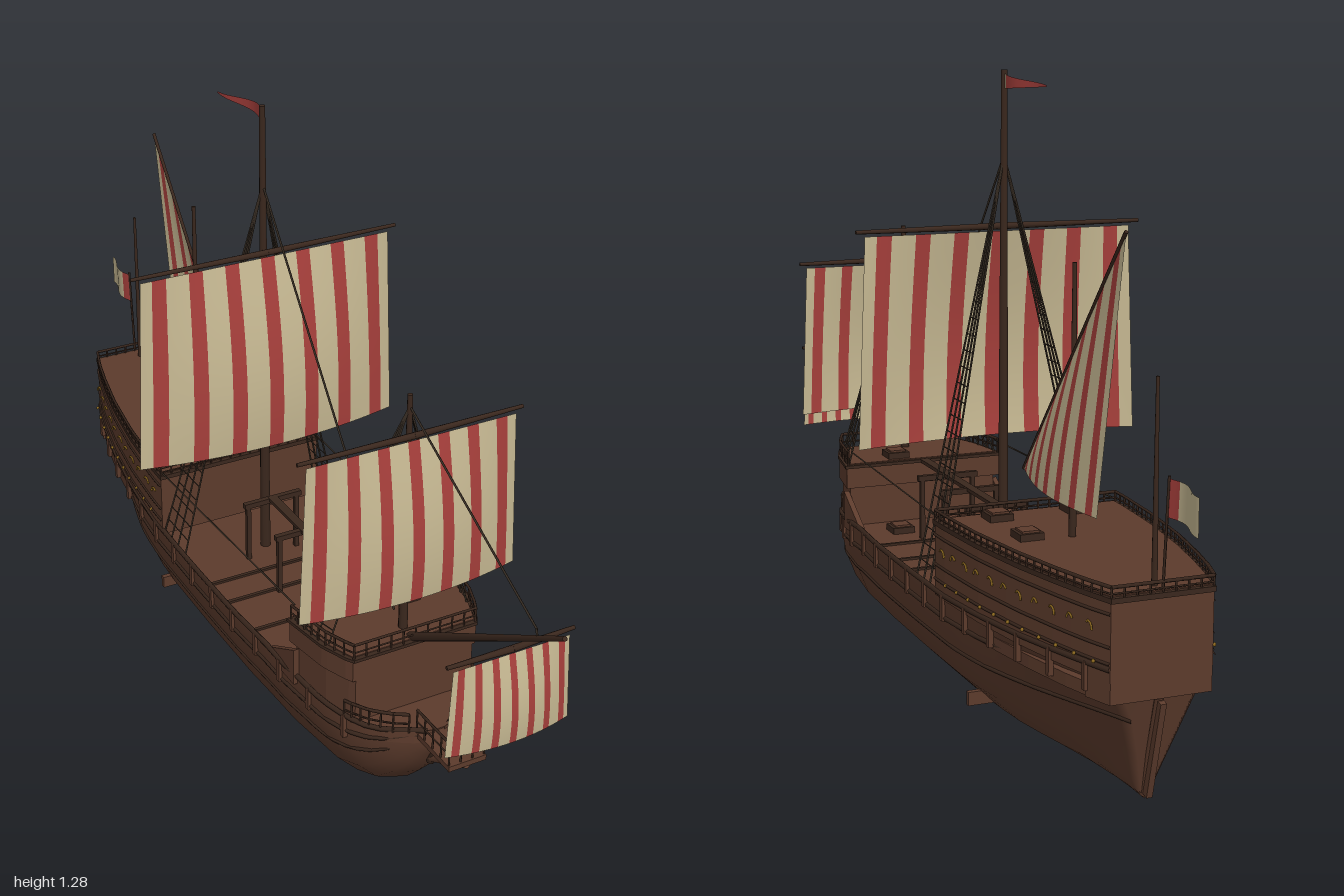
import * as THREE from 'three';
import { ParametricGeometry } from 'three/addons/geometries/ParametricGeometry.js';

const V = (x, y, z) => new THREE.Vector3(x, y, z);
const lerp = THREE.MathUtils.lerp, clamp = THREE.MathUtils.clamp;

function material(name, color, side = THREE.FrontSide) {
  const m = new THREE.MeshStandardMaterial({ color, side });
  m.name = name;
  return m;
}

// Hull stations from bow to stern: z, half width, keel height
const STATIONS = [
  [0.62, 0.012, 0.19], [0.605, 0.05, 0.16], [0.58, 0.09, 0.115], [0.55, 0.12, 0.075], [0.51, 0.145, 0.033],
  [0.45, 0.167, 0.008], [0.3, 0.189, 0], [0.1, 0.199, 0], [-0.1, 0.2, 0], [-0.3, 0.197, 0],
  [-0.45, 0.186, 0], [-0.6, 0.165, 0], [-0.72, 0.14, 0], [-0.8, 0.12, 0], [-0.86, 0.1, 0]];
const FULL = [[0, 0], [0.25, 0.05], [0.52, 0.13], [0.8, 0.34], [0.94, 0.6], [0.99, 0.82], [1, 1]];
const NARROW = [0.05, 0.08, 0.13, 0.25, 0.45, 0.72, 1];

function station(z, k) {
  let i = 0;
  while (i < STATIONS.length - 2 && z < STATIONS[i + 1][0]) i++;
  const a = STATIONS[i], b = STATIONS[i + 1];
  return lerp(a[k], b[k], clamp((z - a[0]) / (b[0] - a[0]), 0, 1));
}
const halfWidth = z => station(z, 1);
const topY = z => 0.26 - 0.03 * clamp((z - 0.25) / 0.3, 0, 1) + 0.015 * clamp((-z - 0.3) / 0.5, 0, 1);

// One side of the hull section at z, keel to gunwale
function section(z) {
  const f = Math.pow(clamp((-z - 0.35) / 0.51, 0, 1), 1.8), k = station(z, 2), w = halfWidth(z);
  return FULL.map(([px, py], j) => V(w * lerp(px, NARROW[j] * Math.sign(px), f),
    lerp(k, topY(z), py), z + 0.06 * f * (1 - py)));
}

function hullGeometry() {
  const zs = [];
  for (let i = 0; i < STATIONS.length - 1; i++)
    for (let s = 0; s < 2; s++) zs.push(lerp(STATIONS[i][0], STATIONS[i + 1][0], s / 2));
  zs.push(-0.86);
  const pos = [], idx = [], n = FULL.length * 2 - 1;
  zs.forEach((z, i) => {
    const right = section(z);
    const row = [...right.slice(1).reverse().map(p => V(-p.x, p.y, p.z)), ...right];
    row.forEach(p => pos.push(p.x, p.y, p.z));
    if (i) for (let j = 0; j < n - 1; j++) {
      const a = (i - 1) * n + j, b = i * n + j;
      idx.push(a, b, a + 1, b, b + 1, a + 1);
    }
  });
  const last = (zs.length - 1) * n;
  for (let j = 1; j < n - 1; j++) idx.push(last, last + j + 1, last + j);
  const g = new THREE.BufferGeometry();
  g.setAttribute('position', new THREE.Float32BufferAttribute(pos, 3));
  g.setIndex(idx);
  g.computeVertexNormals();
  return g;
}

export function createModel() {
  const model = new THREE.Group();
  const hullWood = material('hull wood', 0x5c3b2c, THREE.DoubleSide);
  const wood = material('plank wood', 0x5c3b2c);
  const darkWood = material('dark wood', 0x3a271d);
  const rope = material('rope', 0x3b3026);
  const cream = material('sail cream', 0xc6b892, THREE.DoubleSide);
  const red = material('sail red', 0xa63f3b, THREE.DoubleSide);
  const gold = material('gold trim', 0x8f6a20);

  const group = (name, parent = model) => {
    const g = new THREE.Group();
    g.name = name;
    parent.add(g);
    return g;
  };
  const add = (name, geo, mat, parent = model) => {
    const m = new THREE.Mesh(geo, mat);
    m.name = name;
    parent.add(m);
    return m;
  };
  const box = (name, w, h, d, x, y, z, mat, parent) => {
    const m = add(name, new THREE.BoxGeometry(w, h, d), mat, parent);
    m.position.set(x, y, z);
    return m;
  };
  const rod = (name, a, b, r, mat, parent, r2 = r, sides = r < 0.004 ? 4 : 8) => {
    const m = add(name, new THREE.CylinderGeometry(r2, r, a.distanceTo(b), sides), mat, parent);
    m.position.copy(a).lerp(b, 0.5);
    m.quaternion.setFromUnitVectors(V(0, 1, 0), b.clone().sub(a).normalize());
    return m;
  };
  const path = (name, pts, r, mat, parent) =>
    add(name, new THREE.TubeGeometry(new THREE.CatmullRomCurve3(pts), pts.length * 2, r, 5), mat, parent);
  // Points along the plan outline on one side
  const side = (s, z0, z1, n, y, k = 1) => Array.from({ length: n + 1 }, (_, i) => {
    const z = lerp(z0, z1, i / n);
    return V(s * halfWidth(z) * k, y, z);
  });
  // Solid with the hull's plan between two z and two heights
  const prism = (name, z0, z1, y0, y1, k, mat = wood) => {
    const pts = [...side(1, z0, z1, 12, 0, k), ...side(-1, z1, z0, 12, 0, k)];
    const shape = new THREE.Shape(pts.map(p => new THREE.Vector2(p.x, -p.z)));
    const g = new THREE.ExtrudeGeometry(shape, { depth: y1 - y0, bevelEnabled: false });
    g.rotateX(-Math.PI / 2).translate(0, y0, 0);
    return add(name, g, mat);
  };
  const railing = (name, pts, h, r = 0.003) => {
    const g = group(name);
    pts.forEach((p, i) => {
      rod('baluster', p, p.clone().setY(p.y + h), r * 0.8, darkWood, g);
      if (i) for (const t of [0.5, 1])
        rod('rail', pts[i - 1].clone().setY(pts[i - 1].y + h * t), p.clone().setY(p.y + h * t), r * (t + 0.2), darkWood, g);
    });
  };

  // Hull and decks
  add('hull', hullGeometry(), hullWood);
  prism('mainDeck', 0.5, -0.855, 0.21, 0.235, 0.975);
  prism('bowDeck', 0.615, 0.5, 0.2, 0.226, 0.99);
  prism('sternCounter', -0.8, -0.86, 0.21, 0.28, 1);
  prism('aftCastle', -0.26, -0.86, 0.25, 0.4, 1.005);
  prism('aftCastleTrim', -0.255, -0.865, 0.395, 0.405, 1.02, darkWood);
  prism('aftDeck', -0.265, -0.855, 0.4, 0.407, 0.97);
  prism('forecastle', 0.52, 0.35, 0.22, 0.33, 0.97);
  prism('forecastleTop', 0.52, 0.34, 0.325, 0.375, 1.02);
  prism('forecastleTrim', 0.525, 0.335, 0.372, 0.379, 1.04, darkWood);
  prism('foreDeck', 0.515, 0.345, 0.378, 0.381, 0.98);
  rod('stemPost', V(0, 0.13, 0.592), V(0, 0.22, 0.63), 0.009, darkWood);
  rod('sternPost', V(0, 0.008, -0.797), V(0, 0.21, -0.852), 0.009, wood);
  const rudder = box('rudder', 0.012, 0.2, 0.035, 0, 0.11, -0.828, wood);
  rudder.rotation.x = -0.25;

  for (const s of [-1, 1]) {
    // Wales, gunwale and ribs
    for (const [j, r] of [[4, 0.004], [5, 0.005], [6, 0.006]])
      path('wale', Array.from({ length: 25 }, (_, i) => {
        const p = section(lerp(0.615, -0.86, i / 24))[j];
        return V(p.x * s, p.y, p.z);
      }), r, darkWood);
    for (let z = -0.8; z < 0.5; z += 0.1)
      box('rib', 0.01, 0.055, 0.012, s * halfWidth(z), topY(z) - 0.025, z, wood);
    // Sloping bulwark behind the forecastle
    const slope = new THREE.Shape([[0.36, 0.23], [0.25, 0.23], [0.25, 0.255], [0.36, 0.315]].map(p => new THREE.Vector2(-p[0], p[1])));
    const g = new THREE.ExtrudeGeometry(slope, { depth: 0.012, bevelEnabled: false });
    g.rotateY(Math.PI / 2).translate(s * 0.182 - 0.006, 0, 0);
    add('bulwark', g, wood);
    // Castle mouldings and gold ornament
    for (const y of [0.285, 0.315, 0.375]) path('castleMoulding', side(s, -0.26, -0.86, 12, y, 1.01), 0.003, darkWood);
    for (let i = 0; i < 11; i++) {
      const z = -0.3 - i * 0.051, x = s * (halfWidth(z) * 1.005 + 0.002);
      const arc = add('goldArc', new THREE.TorusGeometry(0.012, 0.0025, 4, 8, Math.PI * 0.8), gold);
      arc.position.set(x, 0.34, z);
      arc.rotation.set(0, Math.PI / 2, i % 2 ? 0.5 : -0.1);
      const stud = add('goldStud', new THREE.SphereGeometry(0.004, 6, 4), gold);
      stud.position.set(x, 0.285, z - 0.02);
    }
    box('bilgeFin', 0.06, 0.028, 0.012, s * 0.135, 0.058, -0.35, wood);
    // Railings
    railing('aftRailing', side(s, -0.26, -0.86, 26, 0.4), 0.024);
    railing('foreRailing', side(s, 0.52, 0.34, 8, 0.375), 0.036);
    railing('bowRailing', side(s, 0.6, 0.5, 6, 0.225), 0.045);
    railing('beakRailing', [0.6, 0.63, 0.66, 0.69, 0.72].map(z => V(s * 0.04, 0.22, z)), 0.055);
    rod('waistLifeline', V(s * 0.175, 0.41, 0.34), V(s * 0.195, 0.41, -0.26), 0.002, rope);
  }
  const across = (w, n, y, z) => Array.from({ length: n + 1 }, (_, i) => V(lerp(-w, w, i / n), y, z));
  railing('aftFrontRailing', across(0.197, 16, 0.4, -0.26), 0.024);
  railing('sternRailing', across(0.1, 8, 0.4, -0.86), 0.024);
  railing('foreFrontRailing', across(0.14, 10, 0.375, 0.52), 0.036);
  railing('beakFrontRailing', across(0.04, 3, 0.22, 0.72), 0.055);

  // Beak platform
  box('beakPlatform', 0.085, 0.012, 0.16, 0, 0.217, 0.645, wood);
  rod('beakStrut', V(0, 0.14, 0.595), V(0, 0.212, 0.72), 0.009, wood);

  // Deck fittings
  for (const [x, y, z] of [[-0.085, 0.235, 0.265], [0.085, 0.235, 0.265], [0.055, 0.381, 0.38],
    [-0.085, 0.407, -0.31], [0.085, 0.407, -0.31], [0.085, 0.407, -0.46]]) {
    box('hatchCoaming', 0.05, 0.014, 0.05, x, y + 0.007, z, darkWood);
    box('hatchCover', 0.036, 0.018, 0.036, x, y + 0.009, z, wood);
  }
  for (const z of [0.19, 0.05, -0.1]) {
    for (const x of [-0.06, 0.06]) box('gallowsPost', 0.01, 0.14, 0.01, x, 0.305, z, darkWood);
    box('gallowsBeam', 0.14, 0.012, 0.012, 0, 0.373, z, darkWood);
  }
  box('spareSpar', 0.02, 0.008, 0.44, 0, 0.376, 0.12, darkWood);
  for (const z of [0.04, -0.04, 0.16]) box('deckBeam', 0.37, 0.006, 0.008, 0, 0.237, z, darkWood);

  // Masts and bowsprit
  const mast = (name, z, y0, y1, r) => rod(name, V(0, y0, z), V(0, y1, z), r, darkWood, model, r * 0.55);
  mast('mainMast', -0.135, 0.23, 1.28, 0.012);
  mast('foreMast', 0.47, 0.37, 0.905, 0.01);
  mast('mizzenMast', -0.48, 0.4, 0.935, 0.008);
  mast('sternMast', -0.825, 0.4, 0.78, 0.006);
  rod('bowsprit', V(0, 0.375, 0.5), V(0, 0.68, 0.998), 0.01, darkWood, model, 0.005);

  // Striped sails: seven periods of cream, red, cream
  const sail = (name, point) => {
    const g = group(name), patch = (a, b, mat) => add(mat.name + ' stripe',
      new ParametricGeometry((u, v, t) => t.copy(point(lerp(a, b, u), v)), 2, 12), mat, g);
    for (let i = 0; i < 7; i++) {
      patch(i / 7, (i + 0.31) / 7, cream);
      patch((i + 0.31) / 7, (i + 0.69) / 7, red);
      patch((i + 0.69) / 7, (i + 1) / 7, cream);
    }
  };
  const squareSail = (name, yardW, topW, footW, yTop, yFoot, z, belly) => {
    sail(name, (u, v) => {
      const x = u * 2 - 1;
      return V(x * lerp(footW, topW, v), lerp(yFoot, yTop, v), z + belly * (1 - x * x) * Math.sin((1 - v) * 2.1));
    });
    for (const s of [-1, 1])
      rod(name + 'Yard', V(0, yTop + 0.01, z), V(s * yardW, yTop + 0.01, z - 0.004), 0.007, darkWood, model, 0.004);
  };
  squareSail('mainSail', 0.31, 0.29, 0.307, 0.955, 0.523, -0.115, 0.043);
  squareSail('foreSail', 0.247, 0.23, 0.244, 0.815, 0.473, 0.488, 0.034);
  squareSail('spritSail', 0.137, 0.125, 0.135, 0.555, 0.367, 0.848, 0.022);

  // Lateen sail, its stripes parallel to the after edge
  const tack = V(0.02, 0.5, -0.29), clew = V(0.02, 0.48, -0.63), peak = V(0.02, 1.02, -0.735);
  sail('lateenSail', (u, v) => {
    const p = tack.clone().lerp(clew, u).lerp(tack.clone().lerp(peak, u), v);
    p.x += 0.03 * Math.sin(Math.PI * u) * (1 - v * v);
    return p;
  });
  rod('lateenYard', tack, peak, 0.004, darkWood);

  // Shrouds with ratlines
  const shrouds = (name, head, feet, rungs) => {
    for (const s of [-1, 1]) {
      const g = group(name), f = feet.map(([x, y, z]) => V(s * x, y, z));
      f.forEach(p => rod('shroud', p, head, 0.0022, rope, g));
      for (let i = 0; i < rungs; i++) {
        const t = i / rungs * 0.85;
        for (let k = 1; k < f.length; k++)
          rod('ratline', f[k - 1].clone().lerp(head, t), f[k].clone().lerp(head, t), 0.0014, rope, g);
      }
    }
  };
  shrouds('mainShrouds', V(0, 1.11, -0.135), [[0.195, 0.26, -0.145], [0.195, 0.26, -0.185], [0.195, 0.26, -0.22], [0.195, 0.26, -0.255]], 22);
  shrouds('foreShrouds', V(0, 0.88, 0.47), [[0.16, 0.38, 0.455], [0.168, 0.38, 0.42], [0.174, 0.38, 0.385], [0.178, 0.38, 0.35]], 14);
  rod('mainStay', V(0, 1.11, -0.135), V(0, 0.4, 0.435), 0.0025, rope);
  rod('foreStay', V(0, 0.88, 0.47), V(0, 0.65, 0.915), 0.0025, rope);
  rod('foreStayPendant', V(0, 0.65, 0.915), V(0, 0.63, 0.92), 0.0025, rope);

  // Pennant and stern flag
  const flag = (name, a, b, mat, at) => add(name, new ParametricGeometry((u, v, t) => t.copy(at(lerp(a, b, u), v)), 8, 2), mat);
  const pennant = (u, v) => V(0.012 * Math.sin(u * 5), 1.258 - 0.004 * u + (v - 0.5) * 0.032 * (1 - 0.9 * u), -0.138 - 0.18 * u);
  flag('pennantHoist', 0, 0.12, cream, pennant);
  flag('pennantFly', 0.12, 1, red, pennant);
  const ensign = (u, v) => V(-0.01 * Math.sin(u * 5), 0.54 + v * 0.07 - 0.003 * u, -0.872 - 0.006 * (v - 1) * (1 - u) - 0.128 * u);
  flag('sternFlagHoist', 0, 0.2, red, ensign);
  flag('sternFlagFly', 0.2, 1, cream, ensign);
  rod('sternFlagStaff', V(0, 0.41, -0.858), V(0, 0.615, -0.874), 0.003, darkWood);
  return model;
}
